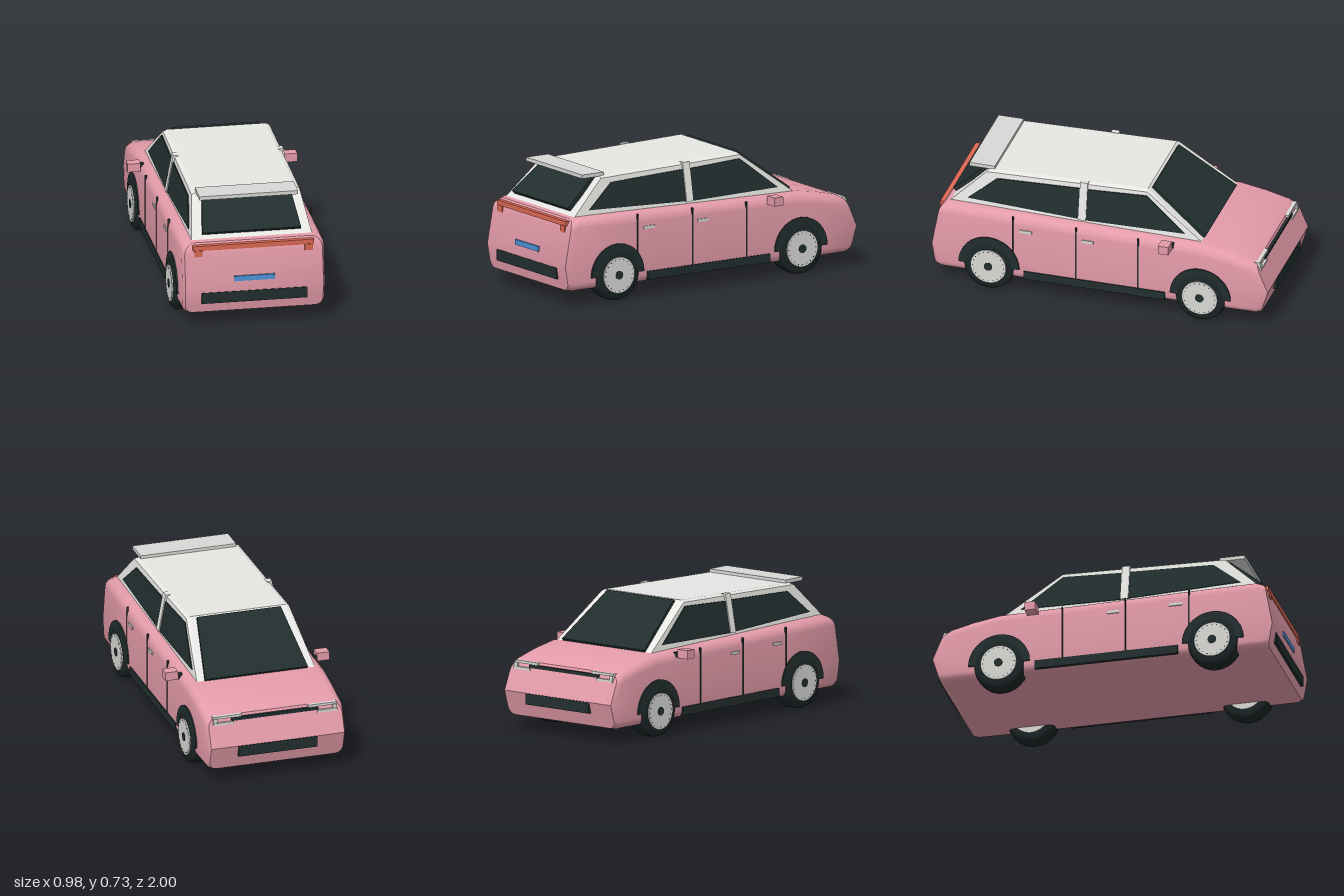
import * as THREE from 'three';
import { toCreasedNormals } from 'three/addons/utils/BufferGeometryUtils.js';
import { ConvexGeometry } from 'three/addons/geometries/ConvexGeometry.js';

const mat = (name, color) => Object.assign(new THREE.MeshStandardMaterial({ color }), { name });

export function createModel() {
  const car = new THREE.Group();
  car.name = 'car';
  const pink = mat('pink paint', 0xe39ba9);
  const white = mat('white paint', 0xe6e6e3);
  const dark = mat('dark trim and glass', 0x222e2e);
  const rubber = mat('tyre rubber', 0x1b2526);
  const grey = mat('light grey', 0xd8d8d5);
  const red = mat('tail light red', 0xdc6853);
  const blue = mat('plate blue', 0x4f93d8);

  const add = (name, geo, material, parent = car) => {
    const m = new THREE.Mesh(geo, material);
    m.name = name;
    parent.add(m);
    return m;
  };
  // box given by its limits on each axis
  const box = (name, material, x0, x1, y0, y1, z0, z1) => {
    const m = add(name, new THREE.BoxGeometry(Math.abs(x1 - x0), y1 - y0, z1 - z0), material);
    m.position.set((x0 + x1) / 2, (y0 + y1) / 2, (z0 + z1) / 2);
  };
  const hull = (name, material, pts) =>
    add(name, new ConvexGeometry(pts.map((p) => new THREE.Vector3(...p))), material);
  // straight-line lookup in a list of [key, value]
  const lookup = (table, k) => {
    for (let i = 1; i < table.length; i++) {
      const [a, va] = table[i - 1], [b, vb] = table[i];
      if (k <= b) return va + (vb - va) * Math.max(0, (k - a) / (b - a));
    }
    return table[table.length - 1][1];
  };

  // Lower body: rounded sections lofted along z, with shaped ends
  const tail = [[0.08, 0.975], [0.23, 1.0], [0.46, 0.958], [0.5, 0.925]];
  const nose = [[0.08, -0.95], [0.23, -0.995], [0.36, -0.94], [0.41, -0.915]];
  const stations = [
    { z: (y) => lookup(nose, y), top: 0.4, w: 0.398, bottom: 0.088 },
    { z: (y) => lookup(nose, y) + 0.03, top: 0.417, w: 0.411, bottom: 0.082 },
    { z: () => -0.75, top: 0.449, w: 0.414, bottom: 0.082 },
    { z: () => -0.6, top: 0.474, w: 0.414, bottom: 0.082 },
    { z: () => 0, top: 0.485, w: 0.414, bottom: 0.082 },
    { z: () => 0.6, top: 0.498, w: 0.414, bottom: 0.082 },
    { z: (y) => lookup(tail, y) - 0.03, top: 0.503, w: 0.411, bottom: 0.082 },
    { z: (y) => lookup(tail, y), top: 0.494, w: 0.398, bottom: 0.088 },
  ];
  const halfSection = (s) => {
    const pts = [], arc = 5, rb = 0.045, rt = 0.062;
    for (let i = 0; i <= arc; i++) {
      const a = (i / arc) * Math.PI / 2;
      pts.push([s.w - rb + rb * Math.sin(a), s.bottom + rb - rb * Math.cos(a)]);
    }
    pts.push([s.w, 0.23]);
    for (let i = 0; i <= arc; i++) {
      const a = (i / arc) * Math.PI / 2;
      pts.push([s.w - rt + rt * Math.cos(a), s.top - rt + rt * Math.sin(a)]);
    }
    return pts;
  };
  const pos = [], idx = [];
  let half = 0;
  for (const s of stations) {
    const section = halfSection(s);
    half = section.length;
    const ring = [...section, ...section.map(([x, y]) => [-x, y]).reverse()];
    for (const [x, y] of ring) pos.push(x, y, s.z(y));
  }
  const n = half * 2, last = (stations.length - 1) * n;
  for (let s = 0; s < stations.length - 1; s++)
    for (let i = 0; i < n; i++) {
      const a = s * n + i, b = s * n + (i + 1) % n;
      idx.push(a, b, b + n, a, b + n, a + n);
    }
  // end caps, filled in strips from left to right
  for (let i = 0; i < half - 1; i++) {
    const j = n - 1 - i;
    idx.push(i, j, i + 1, i + 1, j, j - 1);
    idx.push(last + i, last + i + 1, last + j, last + i + 1, last + j - 1, last + j);
  }
  const bodyGeo = new THREE.BufferGeometry();
  bodyGeo.setAttribute('position', new THREE.Float32BufferAttribute(pos, 3));
  bodyGeo.setIndex(idx);
  add('body', toCreasedNormals(bodyGeo, 0.55), pink);

  // Cabin with tapered sides and a slightly crowned roof
  const cabinX = (y) => 0.35 - 0.186 * (y - 0.49);
  const cabinPts = [];
  for (const s of [-1, 1]) {
    for (const [y, z] of [[0.48, 0.925], [0.45, -0.62], [0.697, 0.7], [0.718, -0.253]])
      cabinPts.push([s * cabinX(y), y, z]);
    cabinPts.push([s * 0.285, 0.706, 0.69], [s * 0.285, 0.729, -0.25]);
  }
  hull('cabin', white, cabinPts);

  // Windscreen and tailgate glass: sloped slabs, given as [half width, y, z]
  const slab = (name, low, high, ny, nz, t) => {
    const pts = [];
    for (const [w, y, z] of [low, high])
      for (const s of [-1, 1]) pts.push([s * w, y, z], [s * w, y - ny * t, z - nz * t]);
    hull(name, dark, pts);
  };
  slab('windscreen', [0.307, 0.487, -0.6], [0.25, 0.731, -0.272], 0.8, -0.6, 0.02);
  slab('tailgateGlass', [0.285, 0.542, 0.908], [0.256, 0.706, 0.715], 0.7, 0.71, 0.025);
  box('spoiler', grey, -0.285, 0.285, 0.703, 0.725, 0.66, 0.81);

  const wheelZ = [0.655, -0.6];
  const tyreProfile = [[0.1, 0.31], [0.135, 0.312], [0.147, 0.325], [0.15, 0.345],
    [0.15, 0.395], [0.147, 0.412], [0.135, 0.425], [0.1, 0.428]];
  const tyreGeo = new THREE.LatheGeometry(tyreProfile.map(([r, x]) => new THREE.Vector2(r, x)), 40);
  const archShape = new THREE.Shape();
  archShape.absarc(0, 0, 0.18, 0, Math.PI, false);
  archShape.absarc(0, 0, 0.13, Math.PI, 0, true);
  const archGeo = new THREE.ExtrudeGeometry(archShape, { depth: 0.03, bevelEnabled: false, curveSegments: 24 });

  for (const s of [-1, 1]) {
    const side = s > 0 ? 'left' : 'right';
    // Side glass, listed as [y, z]
    const sideGlass = (name, corners) => hull(name, dark, corners.flatMap(([y, z]) =>
      [[s * (cabinX(y) + 0.006), y, z], [s * (cabinX(y) - 0.003), y, z]]));
    sideGlass(side + 'RearWindow', [[0.53, 0.8], [0.668, 0.635], [0.683, 0.14], [0.503, 0.14]]);
    sideGlass(side + 'FrontWindow', [[0.5, 0.098], [0.682, 0.098], [0.697, -0.25], [0.508, -0.487]]);
    hull(side + 'Pillar', white, [0.5, 0.722].flatMap((y) => [0.098, 0.143].flatMap((z) =>
      [[s * (cabinX(y) + 0.012), y, z], [s * (cabinX(y) - 0.02), y, z]])));

    // Door seams, handles and sill
    for (const [z, y0, y1] of [[0.515, 0.26, 0.485], [0.14, 0.145, 0.475], [-0.23, 0.145, 0.465]])
      box(side + 'DoorSeam', dark, s * 0.405, s * 0.417, y0, y1, z - 0.004, z + 0.004);
    box(side + 'RearHandle', grey, s * 0.41, s * 0.42, 0.393, 0.41, 0.4, 0.475);
    box(side + 'FrontHandle', grey, s * 0.41, s * 0.42, 0.388, 0.405, 0.035, 0.105);
    box(side + 'Sill', dark, s * 0.4, s * 0.42, 0.095, 0.145, -0.39, 0.45);

    // Door mirror
    box(side + 'Mirror', pink, s * 0.415, s * 0.49, 0.433, 0.483, -0.432, -0.37);
    box(side + 'MirrorMount', dark, s * 0.375, s * 0.416, 0.437, 0.465, -0.438, -0.408);

    // Wheels and arches
    for (const z of wheelZ) {
      const arch = add(side + 'WheelArch', archGeo, dark);
      arch.position.set(s > 0 ? 0.392 : -0.422, 0.15, z);
      arch.rotation.y = Math.PI / 2;

      const wheel = new THREE.Group();
      wheel.name = side + 'Wheel';
      wheel.position.set(0, 0.15, z);
      wheel.rotation.z = -s * Math.PI / 2;
      car.add(wheel);
      add('tyre', tyreGeo, rubber, wheel);
      add('rim', new THREE.CylinderGeometry(0.105, 0.105, 0.13, 40), grey, wheel).position.y = 0.37;
      add('hub', new THREE.CylinderGeometry(0.025, 0.025, 0.01, 16), dark, wheel).position.y = 0.433;
      for (let i = 0; i < 20; i++) {
        const a = (i / 20) * Math.PI * 2;
        const stud = add('rimStud', new THREE.CylinderGeometry(0.003, 0.003, 0.004, 6), dark, wheel);
        stud.position.set(0.092 * Math.cos(a), 0.434, 0.092 * Math.sin(a));
      }
    }

    // Tail light ends and bracket-shaped headlights
    box(side + 'TailLight', red, s * 0.295, s * 0.342, 0.42, 0.458, 0.94, 0.969);
    box(side + 'HeadlightTop', grey, s * 0.2, s * 0.37, 0.386, 0.401, -0.938, -0.905);
    box(side + 'HeadlightOuter', grey, s * 0.345, s * 0.37, 0.358, 0.39, -0.945, -0.905);
    box(side + 'HeadlightLower', grey, s * 0.25, s * 0.37, 0.352, 0.367, -0.95, -0.915);
  }

  // Tail details
  box('tailLightBar', red, -0.35, 0.35, 0.455, 0.484, 0.925, 0.965);
  box('numberPlate', blue, -0.118, 0.118, 0.27, 0.3, 0.975, 0.998);
  box('tailBumperInsert', dark, -0.305, 0.305, 0.145, 0.21, 0.97, 1.0);

  // Nose details
  box('noseBar', dark, -0.26, 0.26, 0.367, 0.386, -0.943, -0.915);
  box('lowerGrille', dark, -0.235, 0.235, 0.166, 0.23, -1.0, -0.965);

  return car;
}
